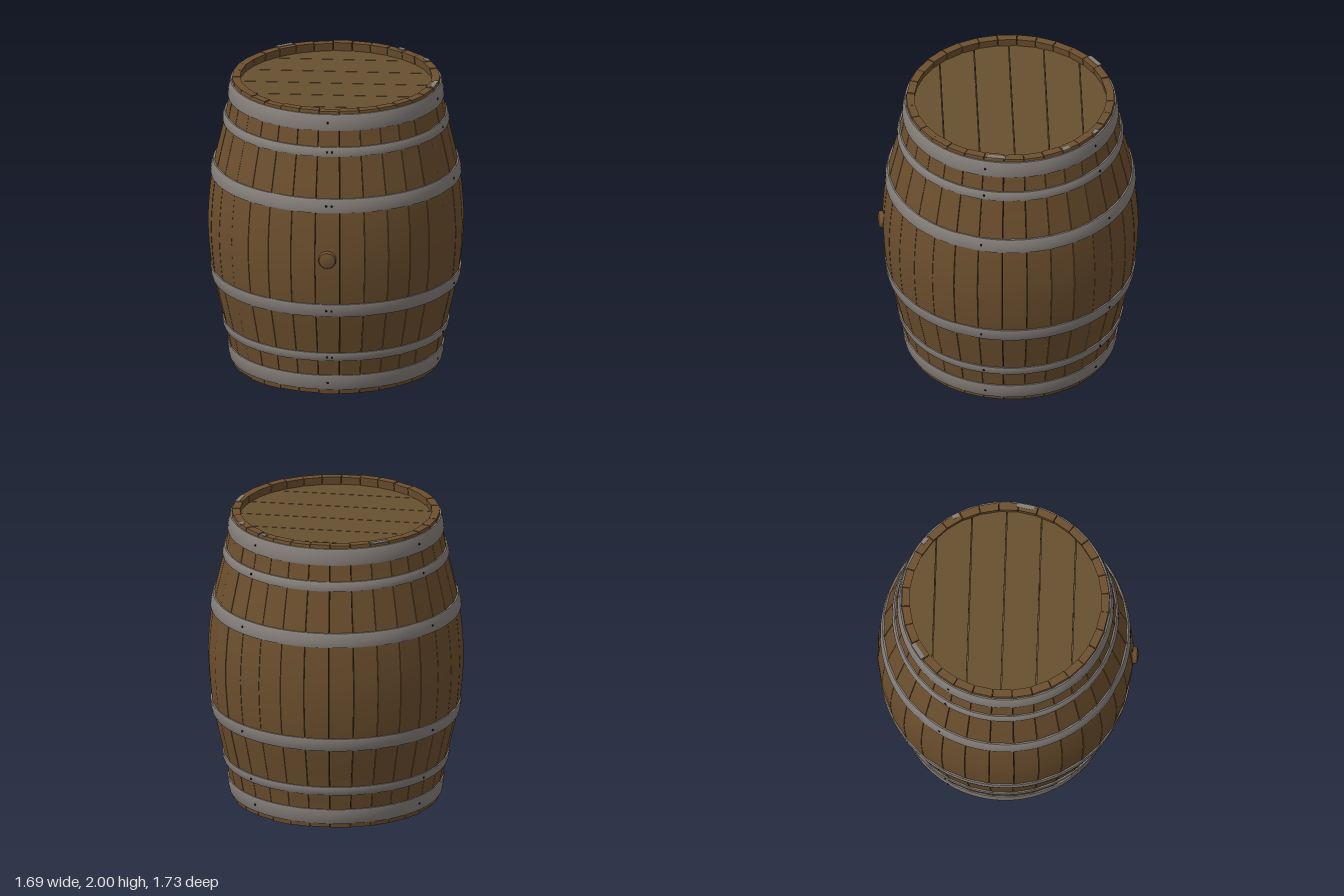
import * as THREE from 'three';
import { toCreasedNormals } from 'three/addons/utils/BufferGeometryUtils.js';

const STAVES = 32;
const HALF = Math.PI / STAVES;

// Barrel radius by distance from mid height (symmetric above and below)
const PROFILE = [[0, 0.85], [0.15, 0.844], [0.3, 0.828], [0.42, 0.808], [0.7, 0.743], [0.87, 0.709], [1, 0.69]];
function radiusAt(y) {
  const t = Math.min(Math.abs(y - 1), 1);
  let i = 1;
  while (i < PROFILE.length - 1 && PROFILE[i][0] < t) i++;
  const [t0, r0] = PROFILE[i - 1], [t1, r1] = PROFILE[i];
  return THREE.MathUtils.mapLinear(t, t0, t1, r0, r1);
}

let seed = 7;
function rand() {
  seed = (seed * 16807) % 2147483647;
  return seed / 2147483647;
}

const material = (name, color) => {
  const m = new THREE.MeshStandardMaterial({ color });
  m.name = name;
  return m;
};

// One bowed plank: a box bent to the profile and tapered toward the axis
function staveGeometry() {
  const geo = new THREE.BoxGeometry(1, 1, 1, 1, 20, 1);
  const pos = geo.attributes.position;
  const y0 = rand() * 0.008, y1 = 2 - rand() * 0.008;
  const shift = -0.002 - rand() * 0.003;
  for (let i = 0; i < pos.count; i++) {
    const y = THREE.MathUtils.lerp(y0, y1, pos.getY(i) + 0.5);
    const r = radiusAt(y) + shift - (pos.getZ(i) > 0 ? 0 : 0.053);
    pos.setXYZ(i, Math.sign(pos.getX(i)) * (r * Math.tan(HALF) - 0.002), y, r);
  }
  geo.computeVertexNormals();
  return geo;
}

// Metal hoop following the bowed wall, with a slight bulge and optional dents
function hoopGeometry(y0, y1, dents) {
  const mid = (y0 + y1) / 2;
  const points = [[y0, -0.012], [y0, 0.007], [y0 + 0.012, 0.011], [mid, 0.013],
    [y1 - 0.012, 0.011], [y1, 0.007], [y1, -0.012]]
    .map(([y, out]) => new THREE.Vector2(radiusAt(y) + out, y));
  const geo = new THREE.LatheGeometry(points, 96);
  const pos = geo.attributes.position;
  for (let i = 0; i < pos.count; i++) {
    const x = pos.getX(i), z = pos.getZ(i), a = Math.atan2(x, z);
    let k = 1;
    for (const d of dents) k -= 0.008 * Math.exp(-(((a - d) / 0.06) ** 2));
    pos.setX(i, x * k);
    pos.setZ(i, z * k);
  }
  return toCreasedNormals(geo, 0.7);
}

// Slice of a round board between two straight cuts
function boardGeometry(a, b, radius, depth) {
  const s = Math.asin(a / radius), e = Math.asin(b / radius);
  const shape = new THREE.Shape();
  shape.absarc(0, 0, radius, s, e, false);
  shape.absarc(0, 0, radius, Math.PI - e, Math.PI - s, false);
  const geo = new THREE.ExtrudeGeometry(shape, { depth, bevelEnabled: false, curveSegments: 16 });
  return geo.rotateX(Math.PI / 2);
}

export function createModel() {
  const wood = material('stave wood', 0x6c4f2e);
  const headWood = material('head wood', 0x675030);
  const metal = material('hoop metal', 0x857e79);
  const dark = material('dark gap', 0x17110a);
  dark.side = THREE.DoubleSide;

  const model = new THREE.Group();
  model.name = 'barrel';
  const barrel = new THREE.Group();
  barrel.name = 'barrelBody';
  barrel.position.z = -0.0135;
  model.add(barrel);

  const add = (name, geo, mat, parent = barrel) => {
    const mesh = new THREE.Mesh(geo, mat);
    mesh.name = name;
    parent.add(mesh);
    return mesh;
  };

  // Staves around the wall
  for (let i = 0; i < STAVES; i++) {
    add('stave', staveGeometry(), wood).rotation.y = i * 2 * HALF;
  }

  // Dark lining seen through the narrow joints
  const lining = [];
  for (let i = 0; i <= 20; i++) {
    const y = 0.02 + i * 0.098;
    lining.push(new THREE.Vector2(radiusAt(y) - 0.02, y));
  }
  add('jointLining', new THREE.LatheGeometry(lining, 64), dark);

  // Recessed heads made of boards with narrow gaps
  const R = 0.665;
  const cuts = [-R, -0.472, -0.24, -0.01, 0.222, 0.454, R];
  for (const [name, y] of [['topHeadBoard', 1.94], ['bottomHeadBoard', 0.1]]) {
    for (let i = 0; i < cuts.length - 1; i++) {
      const a = i === 0 ? -R : cuts[i] + 0.0025;
      const b = i === cuts.length - 2 ? R : cuts[i + 1] - 0.0025;
      add(name, boardGeometry(a, b, R, 0.04), headWood).position.y = y;
    }
  }

  // Hoops and their rivets: bottom, top, rivet angles
  const single = [-0.01, 1.3, 2.45, -2.1];
  const double = [-0.012, 0.032, 1.3, 2.45, -2.1];
  const dents = [-0.44, 1.16, -2.3];
  const hoops = [
    [0.035, 0.14, single, []], [0.25, 0.31, double, []], [0.59, 0.68, double, dents],
    [1.325, 1.42, double, dents], [1.695, 1.757, double, []], [1.865, 1.975, single, []],
  ];
  const rivet = new THREE.CylinderGeometry(0.008, 0.008, 0.006, 8).rotateX(Math.PI / 2);
  for (const [y0, y1, rivets, bumps] of hoops) {
    add('hoop', hoopGeometry(y0, y1, bumps), metal);
    const y = (y0 + y1) / 2, r = radiusAt(y) + 0.013;
    for (const a of rivets) {
      const mesh = add('rivet', rivet, dark);
      mesh.position.set(r * Math.sin(a), y, r * Math.cos(a));
      mesh.rotation.y = a;
    }
  }

  // Worn patches on the top rim: x, z, length
  for (const [x, z, length] of [[-0.38, -0.57, 0.12], [0.4, -0.55, 0.05], [0.58, -0.35, 0.05], [0.662, 0.115, 0.12]]) {
    const patch = add('rimPatch', new THREE.BoxGeometry(length, 0.008, 0.03), metal);
    patch.position.set(x, 1.997, z);
    patch.rotation.y = Math.atan2(x, z);
  }

  // Bung in the front wall, slightly domed
  const bungProfile = [[0.06, 0], [0.058, 0.055], [0.053, 0.064], [0.03, 0.07], [0, 0.072]]
    .map(([r, y]) => new THREE.Vector2(r, y));
  const bung = add('bung', toCreasedNormals(new THREE.LatheGeometry(bungProfile, 20), 0.8), wood, model);
  bung.rotation.x = Math.PI / 2;
  bung.position.set(0, 1.005, 0.797);

  return model;
}
